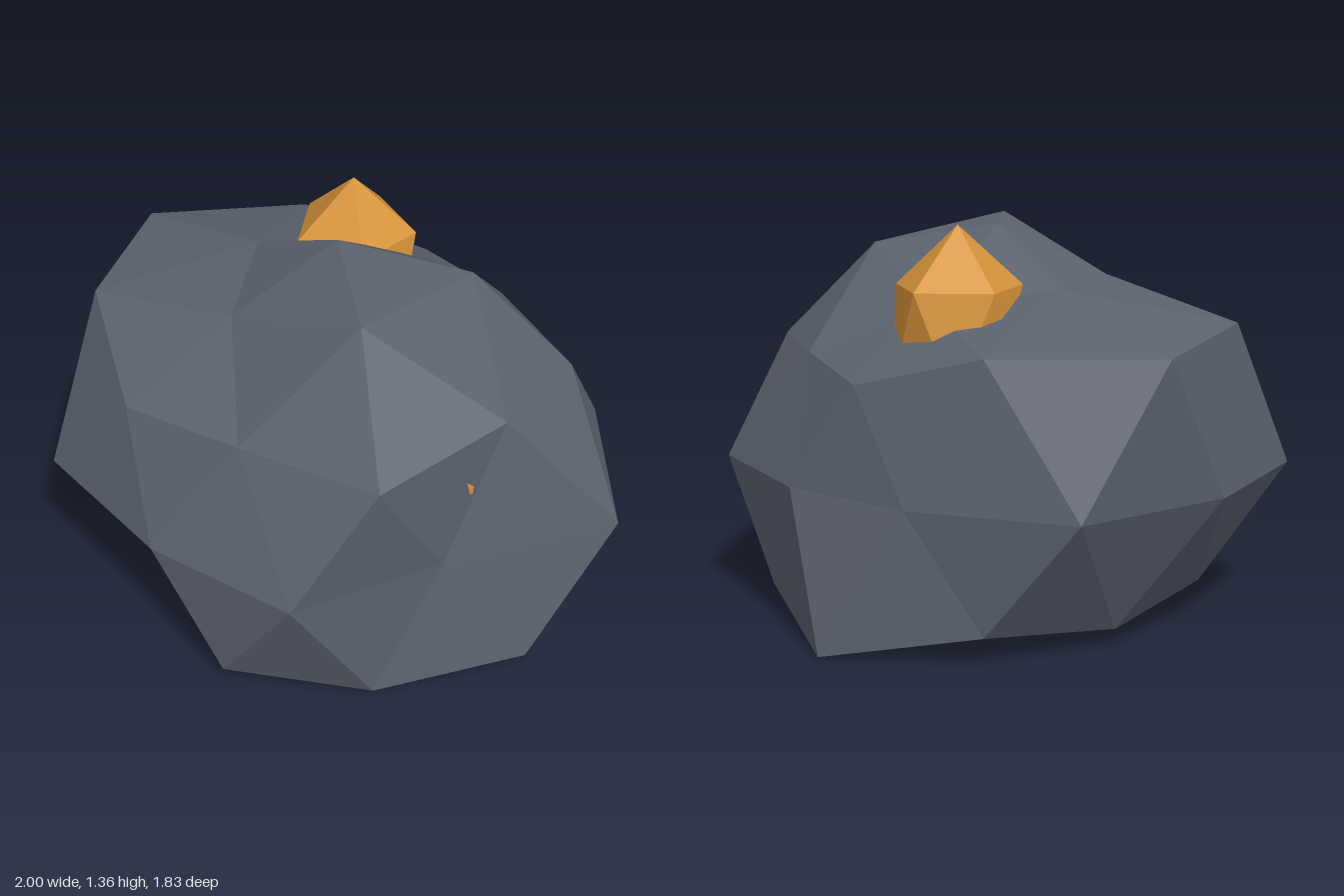
import * as THREE from 'three';
import { ConvexGeometry } from 'three/addons/geometries/ConvexGeometry.js';

// Unit direction from polar angle cosine (y) and azimuth in degrees (x towards z)
function direction(y, azimuth) {
  const h = Math.sqrt(1 - y * y);
  const a = THREE.MathUtils.degToRad(azimuth);
  return new THREE.Vector3(h * Math.cos(a), y, h * Math.sin(a));
}

const ICO = 1 / Math.sqrt(5); // height of the upper corners of an icosahedron

// Rings of a once-subdivided icosahedron: height, first azimuth, radius of each vertex
const rockRings = [
  [1, 0, [0.83]],
  [0.8507, 0, [0.88, 0.97, 0.755, 0.755, 0.69]],
  [ICO, 0, [0.912, 0.985, 0.885, 1.107, 0.82]],
  [0.5257, 36, [0.922, 0.82, 1.01, 0.927, 0.78]],
  [0, 18, [1.08, 0.785, 0.955, 0.885, 1.02, 0.95, 1.0, 0.825, 0.82, 0.957]],
  [-ICO, 36, [1.04, 0.96, 0.828, 0.91, 0.895]],
  [-0.5257, 0, [0.8, 0.95, 0.745, 0.838, 1.08]],
  [-0.8507, 36, [1.0, 0.9, 0.95, 0.9, 0.9]],
  [-1, 0, [0.8]],
];

// Faceted boulder: push each sphere vertex to its radius, flatten at the ground
function rockGeometry() {
  const dirs = [];
  const radii = [];
  for (const [y, start, ring] of rockRings) {
    ring.forEach((r, i) => {
      dirs.push(direction(y, start + (i * 360) / ring.length));
      radii.push(r);
    });
  }
  const geometry = new ConvexGeometry(dirs);
  const pos = geometry.attributes.position;
  const v = new THREE.Vector3();
  for (let i = 0; i < pos.count; i++) {
    v.fromBufferAttribute(pos, i);
    let best = 0;
    dirs.forEach((d, k) => {
      if (d.distanceToSquared(v) < dirs[best].distanceToSquared(v)) best = k;
    });
    v.copy(dirs[best]).multiplyScalar(radii[best]);
    pos.setXYZ(i, v.x - 0.03, Math.max(0, v.y + 0.5), v.z - 0.04);
  }
  geometry.computeVertexNormals();
  return geometry;
}

// Icosahedral nugget standing on a corner
function nuggetGeometry(width, height) {
  const points = [direction(1, 0), direction(-1, 0)];
  for (let i = 0; i < 5; i++) {
    points.push(direction(ICO, i * 72), direction(-ICO, 36 + i * 72));
  }
  const geometry = new ConvexGeometry(points).scale(width, height, width);
  geometry.computeVertexNormals();
  return geometry;
}

export function createModel() {
  const group = new THREE.Group();
  const stone = new THREE.MeshStandardMaterial({ color: 0x5c636e });
  stone.name = 'slateStone';
  const ore = new THREE.MeshStandardMaterial({ color: 0xd8943a });
  ore.name = 'amberOre';

  const add = (name, geometry, material, x = 0, y = 0, z = 0) => {
    const mesh = new THREE.Mesh(geometry, material);
    mesh.name = name;
    mesh.position.set(x, y, z);
    group.add(mesh);
  };

  add('boulder', rockGeometry(), stone);
  add('topNugget', nuggetGeometry(0.25, 0.37), ore, -0.03, 0.99, -0.4);
  // Almost buried nugget with one corner breaking the surface
  add('buriedNugget', nuggetGeometry(0.06, 0.09), ore, 0.468, 0.795, 0.49);
  return group;
}
